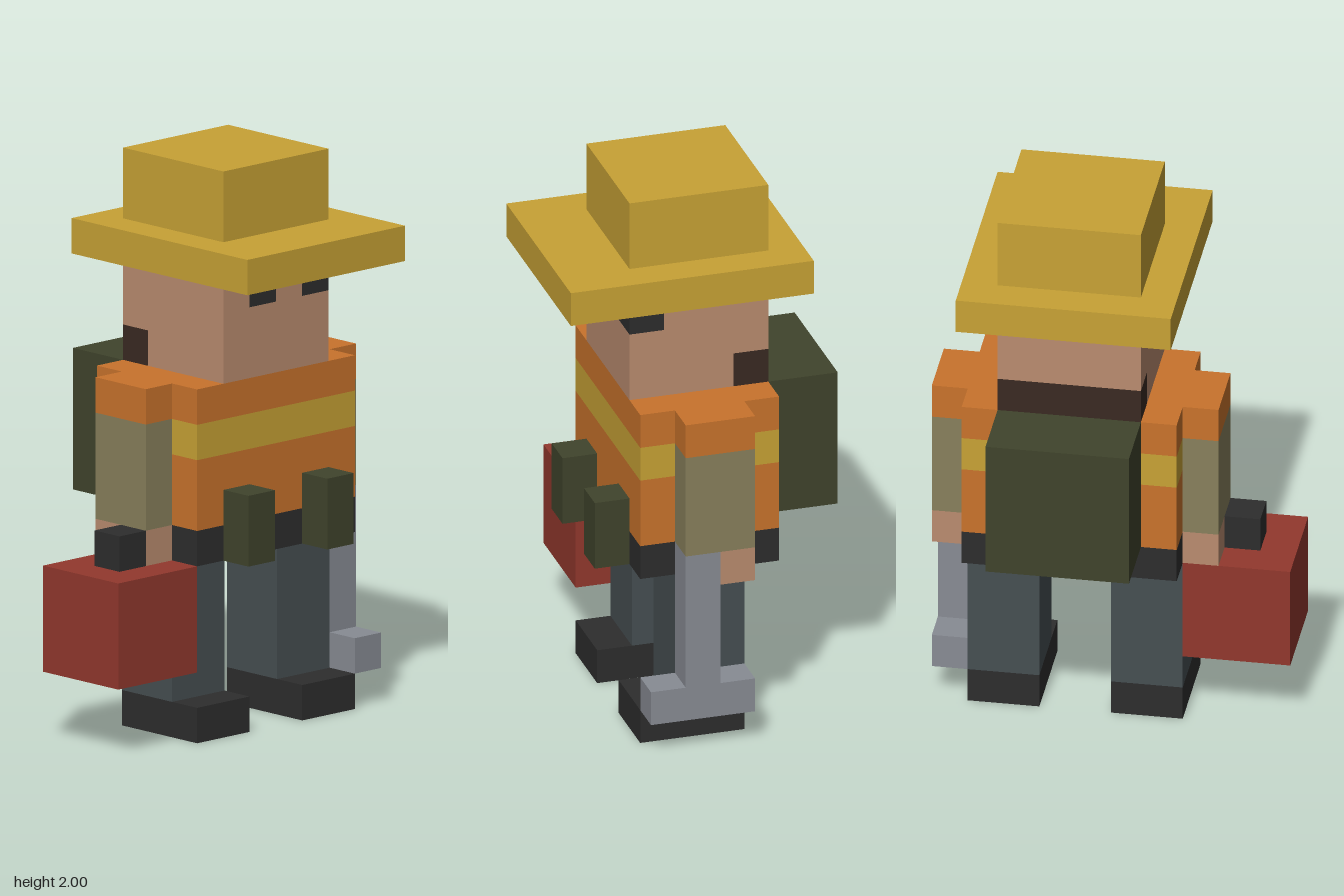
import * as THREE from 'three';

const U = 0.125; // one block

const COLORS = {
  yellow: 0xc8a235,
  orange: 0xc9732c,
  skin: 0xba8c6f,
  black: 0x2d2d2d,
  hairBrown: 0x3a2a22,
  sleeveOlive: 0x88805c,
  trouserSlate: 0x464f52,
  toolboxRed: 0x92382d,
  steelGrey: 0x888c94,
  packGreen: 0x40442c,
};

export function createModel() {
  const model = new THREE.Group();
  model.name = 'worker';

  const mats = {};
  for (const [name, color] of Object.entries(COLORS)) {
    mats[name] = new THREE.MeshStandardMaterial({ color });
    mats[name].name = name;
  }

  const group = (name) => {
    const g = new THREE.Group();
    g.name = name;
    model.add(g);
    return g;
  };

  // Box given by its limits on each axis, in blocks
  const box = (parent, name, mat, [x0, x1], [y0, y1], [z0, z1]) => {
    const geo = new THREE.BoxGeometry((x1 - x0) * U, (y1 - y0) * U, (z1 - z0) * U);
    const mesh = new THREE.Mesh(geo, mats[mat]);
    mesh.position.set((x0 + x1) / 2 * U, (y0 + y1) / 2 * U, (z0 + z1) / 2 * U);
    mesh.name = name;
    parent.add(mesh);
  };

  // Hat
  const hat = group('hat');
  box(hat, 'crown', 'yellow', [-1, 3], [14, 16], [-2, 2]);
  box(hat, 'brim', 'yellow', [-2, 4], [13, 14], [-3, 4]);

  // Head: jaw and hair row, cheek row, eye row
  const head = group('head');
  box(head, 'jaw', 'skin', [-1, 3], [10, 11], [-1, 2]);
  box(head, 'hair', 'hairBrown', [-1, 3], [10, 11], [-2, -1]);
  box(head, 'cheeks', 'skin', [-1, 3], [11, 12], [-2, 2]);
  box(head, 'backOfHead', 'skin', [-1, 3], [12, 13], [-2, 1]);
  for (const x of [-1, 1]) {
    box(head, 'brow', 'skin', [x, x + 1], [12, 13], [1, 2]);
    box(head, 'eye', 'black', [x + 1, x + 2], [12, 13], [1, 2]);
  }

  // Torso in horizontal bands
  const torso = group('torso');
  box(torso, 'vestTop', 'orange', [-2, 4], [9, 10], [-2, 2]);
  box(torso, 'vestStripe', 'yellow', [-2, 4], [8, 9], [-2, 2]);
  box(torso, 'vestBottom', 'orange', [-2, 4], [6, 8], [-2, 2]);
  box(torso, 'belt', 'black', [-2, 4], [5, 6], [-2, 2]);
  for (const x of [-1, 2]) box(torso, 'pouch', 'packGreen', [x, x + 1], [5, 7], [2, 3]);
  box(torso, 'backpack', 'packGreen', [-1, 3], [6, 10], [-4, -2]);

  // Arms
  for (const [name, x] of [['rightArm', -3], ['leftArm', 4]]) {
    const arm = group(name);
    box(arm, 'shoulder', 'orange', [x, x + 1], [9, 10], [-1, 1]);
    box(arm, 'sleeve', 'sleeveOlive', [x, x + 1], [6, 9], [-1, 1]);
    box(arm, 'hand', 'skin', [x, x + 1], [5, 6], [-1, x < 0 ? 1 : 0]);
  }

  // Legs
  for (const [name, x] of [['rightLeg', -2], ['leftLeg', 2]]) {
    const leg = group(name);
    box(leg, 'trouser', 'trouserSlate', [x, x + 2], [1, 5], [-1, 1]);
    box(leg, 'boot', 'black', [x, x + 2], [0, 1], [-1, 2]);
  }

  // Toolbox in the right hand
  const toolbox = group('toolbox');
  box(toolbox, 'case', 'toolboxRed', [-5, -2], [2, 5], [-1, 2]);
  box(toolbox, 'handle', 'black', [-4, -3], [5, 6], [0, 1]);

  // Hammer in the left hand
  const hammer = group('hammer');
  box(hammer, 'shaft', 'steelGrey', [4, 5], [2, 6], [0, 1]);
  box(hammer, 'hammerHead', 'steelGrey', [4, 5], [1, 2], [-1, 2]);

  return model;
}
